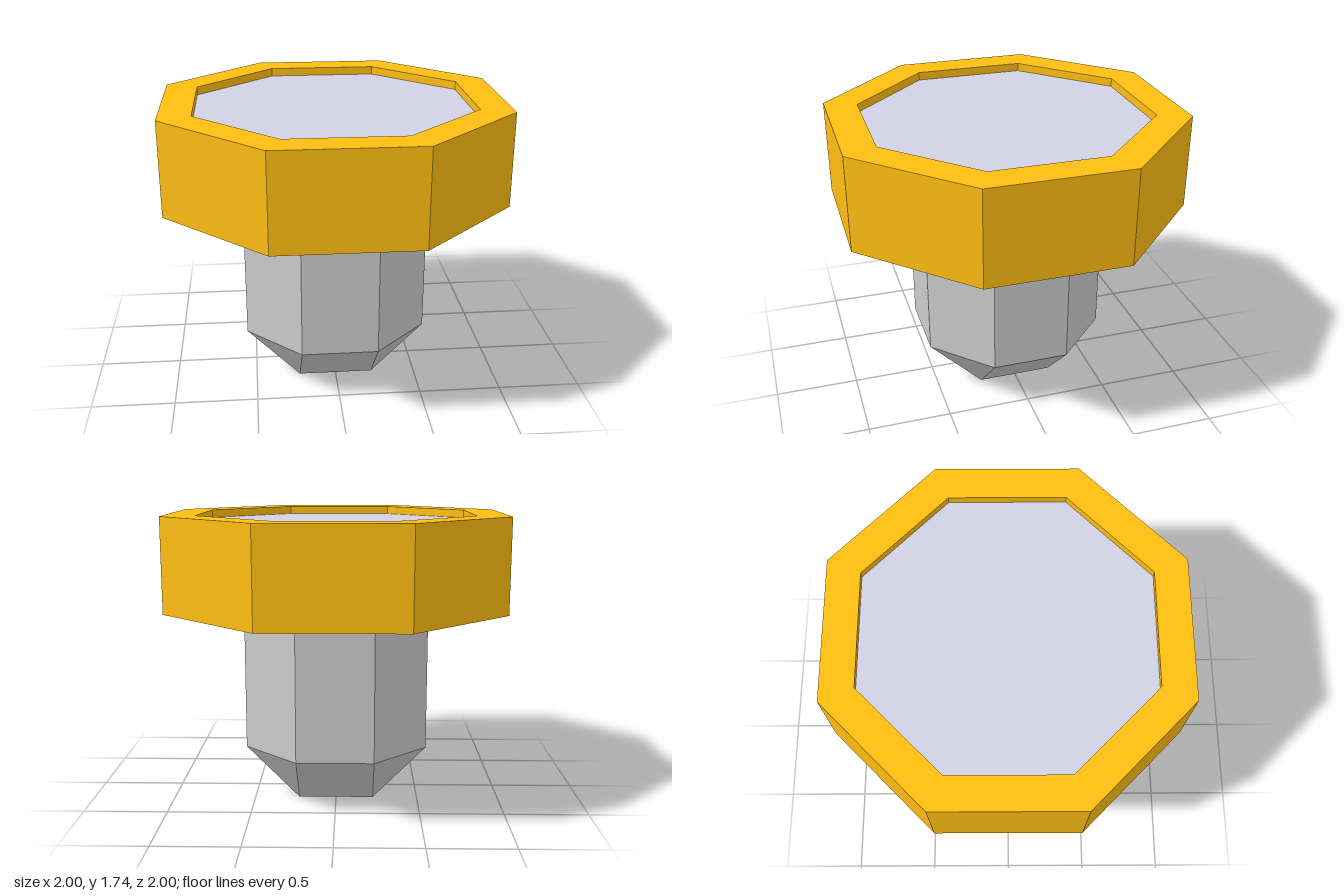
import * as THREE from 'three';

const SIDES = 8;
const TURN = Math.PI / SIDES; // puts a flat side to the front
const corner = (flat) => flat / Math.cos(TURN); // corner radius from flat-side distance

const SHAFT = 0.55, TIP_TOP = 0.325, HEAD_BOTTOM = 1.175, HEAD_TOP = 1.74, FACE_Y = 1.69;

function part(name, geometry, color) {
  const material = new THREE.MeshStandardMaterial({ color, flatShading: true });
  const mesh = new THREE.Mesh(geometry, material);
  mesh.name = name;
  return mesh;
}

function prism(flat, y0, y1, open) {
  const r = corner(flat);
  return new THREE.CylinderGeometry(r, r, y1 - y0, SIDES, 1, open, TURN)
    .translate(0, (y0 + y1) / 2, 0);
}

export function createModel() {
  const model = new THREE.Group();
  model.name = 'octagonalStud';

  // Shaft, running up to the underside of the head
  model.add(part('shaft', prism(SHAFT, TIP_TOP, HEAD_BOTTOM, true), 0xcccccc));

  // Tip: the lower octagon is squeezed into a small square
  const tip = prism(SHAFT, 0, TIP_TOP, false);
  const half = SHAFT * Math.tan(TURN);
  const pos = tip.attributes.position;
  for (let i = 0; i < pos.count; i++) {
    if (pos.getY(i) > 0.01) continue;
    pos.setX(i, THREE.MathUtils.clamp(pos.getX(i), -half, half));
    pos.setZ(i, THREE.MathUtils.clamp(pos.getZ(i), -half, half));
  }
  model.add(part('tip', tip, 0xcccccc));

  // Head: underside, outer wall, rim and the inner wall of the recess
  const profile = [
    [0, HEAD_BOTTOM], [1, HEAD_BOTTOM], [1, HEAD_TOP], [0.81, HEAD_TOP], [0.81, FACE_Y],
  ].map(([flat, y]) => new THREE.Vector2(corner(flat), y));
  model.add(part('head', new THREE.LatheGeometry(profile, SIDES, TURN), 0xffbe12));

  // Recessed face
  const face = new THREE.CircleGeometry(corner(0.81), SIDES, TURN)
    .rotateX(-Math.PI / 2).translate(0, FACE_Y, 0);
  model.add(part('recessedFace', face, 0xd1d1e6));

  return model;
}
